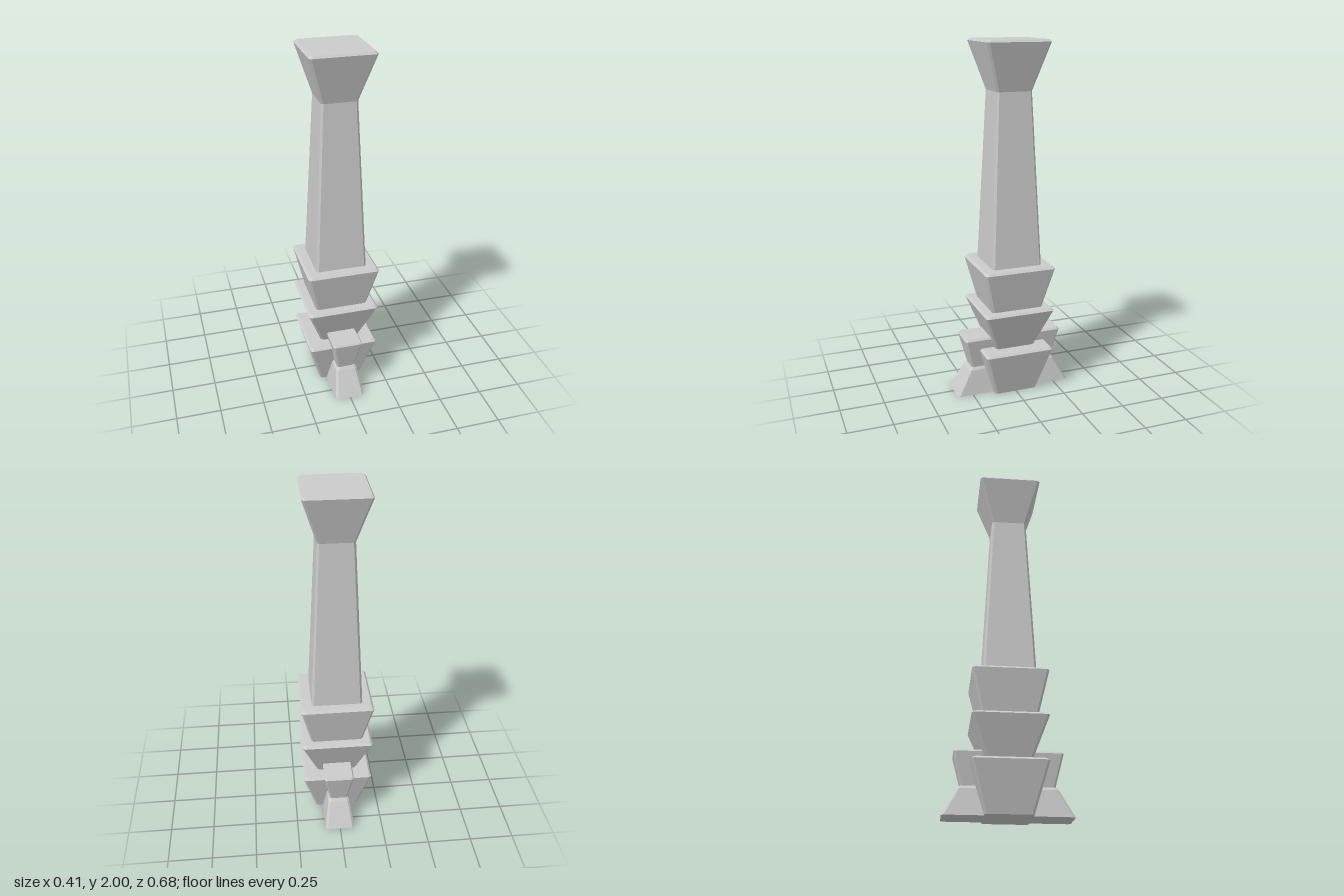
import * as THREE from 'three';

const material = new THREE.MeshStandardMaterial({ color: 0xcccccc, flatShading: true });

// Rectangle with cut corners, counter-clockwise seen from above
function ring([y, hx, hz], c) {
  return [
    [hx, hz - c], [hx, -hz + c], [hx - c, -hz], [-hx + c, -hz],
    [-hx, -hz + c], [-hx, hz - c], [-hx + c, hz], [hx - c, hz],
  ].map(([x, z]) => [x, y, z]);
}

// Stacks cut-corner rectangles [y, halfX, halfZ] from bottom to top, closed at both ends
function block(name, levels, c = 0.012) {
  const rings = levels.map((l) => ring(l, c));
  const pos = [];
  const tri = (a, b, d) => pos.push(...a, ...b, ...d);
  for (let i = 0; i < rings.length - 1; i++) {
    for (let j = 0; j < 8; j++) {
      const k = (j + 1) % 8;
      const [a, b, d, e] = [rings[i][j], rings[i][k], rings[i + 1][k], rings[i + 1][j]];
      tri(a, b, d);
      tri(a, d, e);
    }
  }
  const bottom = rings[0], top = rings[rings.length - 1];
  for (let j = 1; j < 7; j++) {
    tri(top[0], top[j], top[j + 1]);
    tri(bottom[0], bottom[j + 1], bottom[j]);
  }
  const geometry = new THREE.BufferGeometry();
  geometry.setAttribute('position', new THREE.Float32BufferAttribute(pos, 3));
  geometry.computeVertexNormals();
  const mesh = new THREE.Mesh(geometry, material);
  mesh.name = name;
  return mesh;
}

const square = (levels) => levels.map(([y, h]) => [y, h, h]);

export function createModel() {
  const group = new THREE.Group();
  group.name = 'pillar';

  // Three flared tiers with bevelled rims: [bottom, top, bottom half width, top half width]
  const tiers = [
    ['lowerTier', 0, 0.275, 0.125, 0.2],
    ['middleTier', 0.265, 0.515, 0.112, 0.203],
    ['upperTier', 0.505, 0.765, 0.147, 0.205],
  ];
  for (const [name, y0, y1, h0, h1] of tiers) {
    group.add(block(name, square([[y0, h0], [y1 - 0.012, h1], [y1, h1 - 0.012]])));
  }

  // Tapering shaft that flares out to a flat head
  group.add(block('shaft', square([
    [0.75, 0.145], [1.73, 0.1], [1.988, 0.178], [2, 0.168],
  ])));

  // Foot and bracket pass through the base and stick out at front and back
  group.add(block('foot', [
    [0, 0.086, 0.34], [0.142, 0.063, 0.262], [0.157, 0.053, 0.25],
  ]));
  group.add(block('bracket', [
    [0.15, 0.05, 0.243], [0.33, 0.085, 0.288], [0.34, 0.078, 0.28],
  ], 0.01));

  return group;
}
